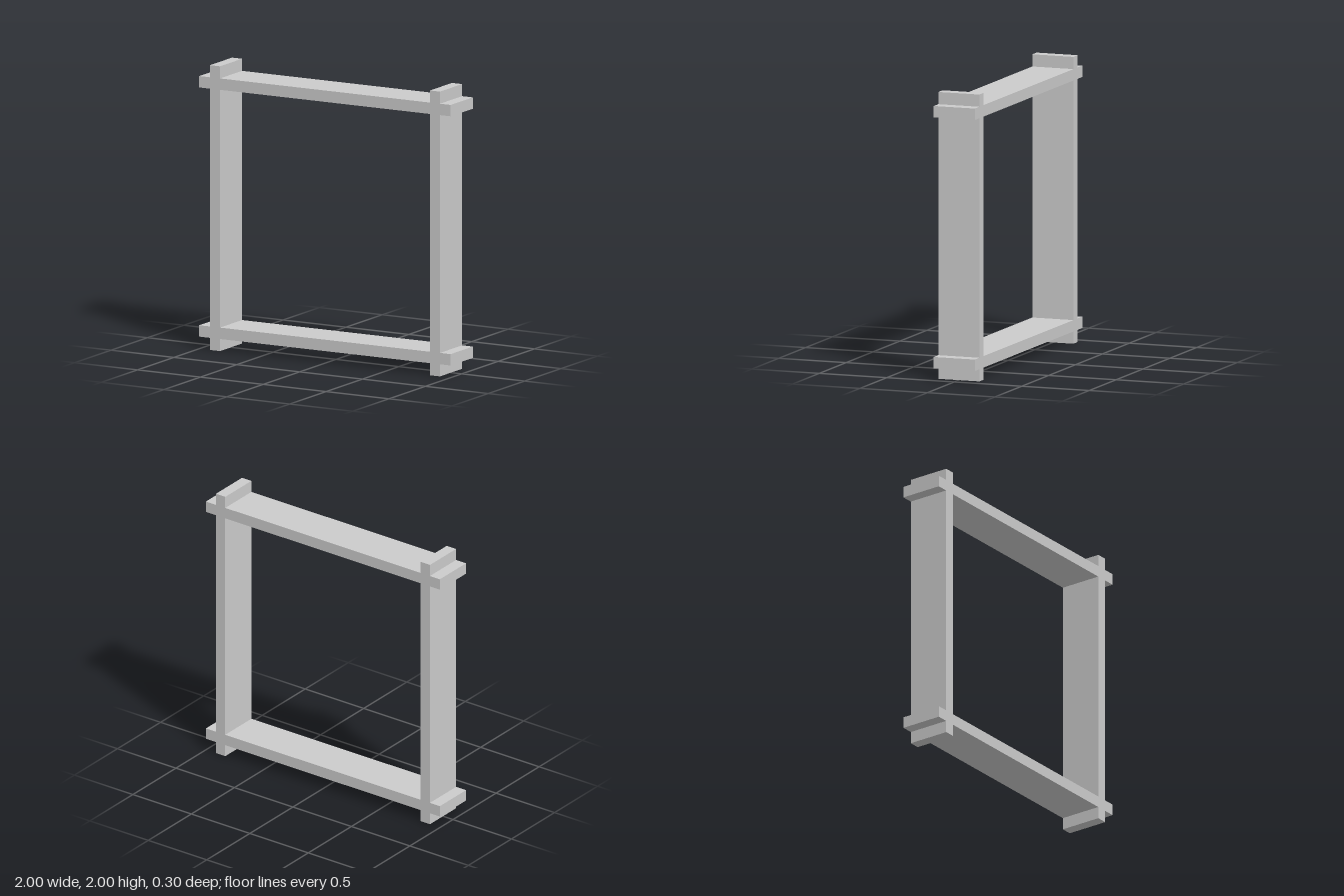
import * as THREE from 'three';

const END = 1;        // board tips, measured from the frame centre
const OUTER = 0.915;  // outer face of each board
const INNER = 0.835;  // inner face of each board
const DEPTH = 0.304;

// Four crossing boards, flush at their half-lap joints, as one solid outline
function frameShape() {
  // One corner of the outline; the others are quarter turns of it
  const corner = [
    [END, INNER], [END, OUTER], [OUTER, OUTER], [OUTER, END],
    [INNER, END], [INNER, OUTER],
  ];
  const points = [];
  for (let i = 0; i < 4; i++) {
    const turn = (i * Math.PI) / 2;
    points.push(new THREE.Vector2(OUTER, INNER).rotateAround(new THREE.Vector2(), turn));
    for (const [x, y] of corner) {
      points.push(new THREE.Vector2(x, y).rotateAround(new THREE.Vector2(), turn));
    }
  }
  // Adjacent corners are joined by the long outer faces
  const shape = new THREE.Shape(points);

  // Square opening
  shape.holes.push(new THREE.Path([
    new THREE.Vector2(-INNER, -INNER),
    new THREE.Vector2(-INNER, INNER),
    new THREE.Vector2(INNER, INNER),
    new THREE.Vector2(INNER, -INNER),
  ]));
  return shape;
}

export function createModel() {
  const model = new THREE.Group();
  model.name = 'crossedBoardFrame';

  const geometry = new THREE.ExtrudeGeometry(frameShape(), { depth: DEPTH, bevelEnabled: false });
  geometry.translate(0, END, -DEPTH / 2);

  const frame = new THREE.Mesh(
    geometry,
    new THREE.MeshStandardMaterial({ color: 0xcccccc, flatShading: true }),
  );
  frame.name = 'interlockedBoards';
  model.add(frame);
  return model;
}
